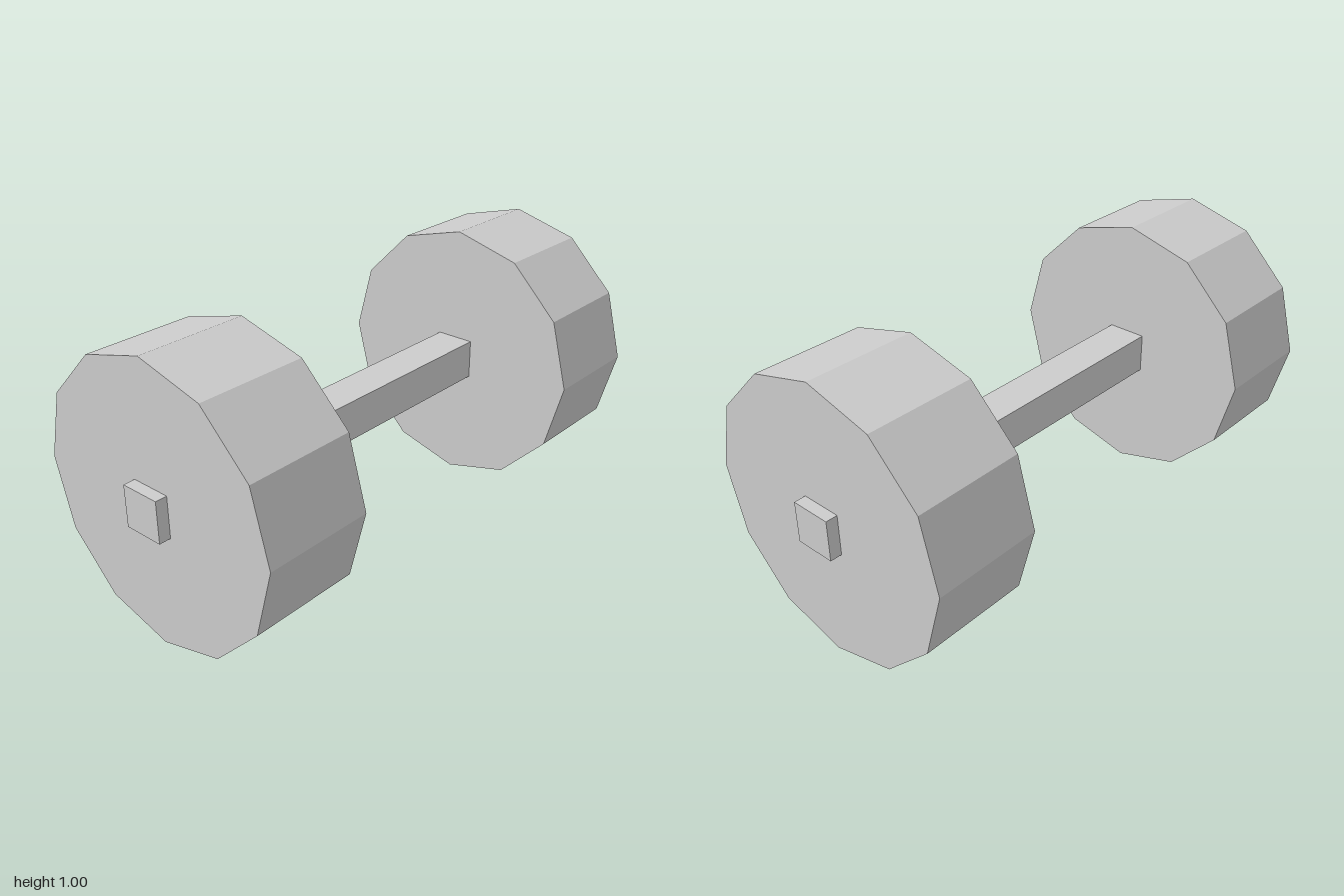
import * as THREE from 'three';

export function createModel() {
  const model = new THREE.Group();
  model.name = 'dumbbell';

  const metal = new THREE.MeshStandardMaterial({ color: 0xcccccc });
  metal.name = 'light grey metal';
  metal.flatShading = true;

  // Square bar running through both weights
  const bar = new THREE.Mesh(new THREE.BoxGeometry(2, 0.148, 0.148), metal);
  bar.name = 'bar';
  bar.position.y = 0.5;
  model.add(bar);

  // Twelve-sided weights, a corner pointing straight up
  const weightGeometry = new THREE.CylinderGeometry(0.5, 0.5, 0.4, 12);
  weightGeometry.rotateZ(Math.PI / 2);
  for (const [name, side] of [['leftWeight', 1], ['rightWeight', -1]]) {
    const weight = new THREE.Mesh(weightGeometry, metal);
    weight.name = name;
    weight.position.set(side * 0.758, 0.5, 0);
    model.add(weight);
  }

  return model;
}
